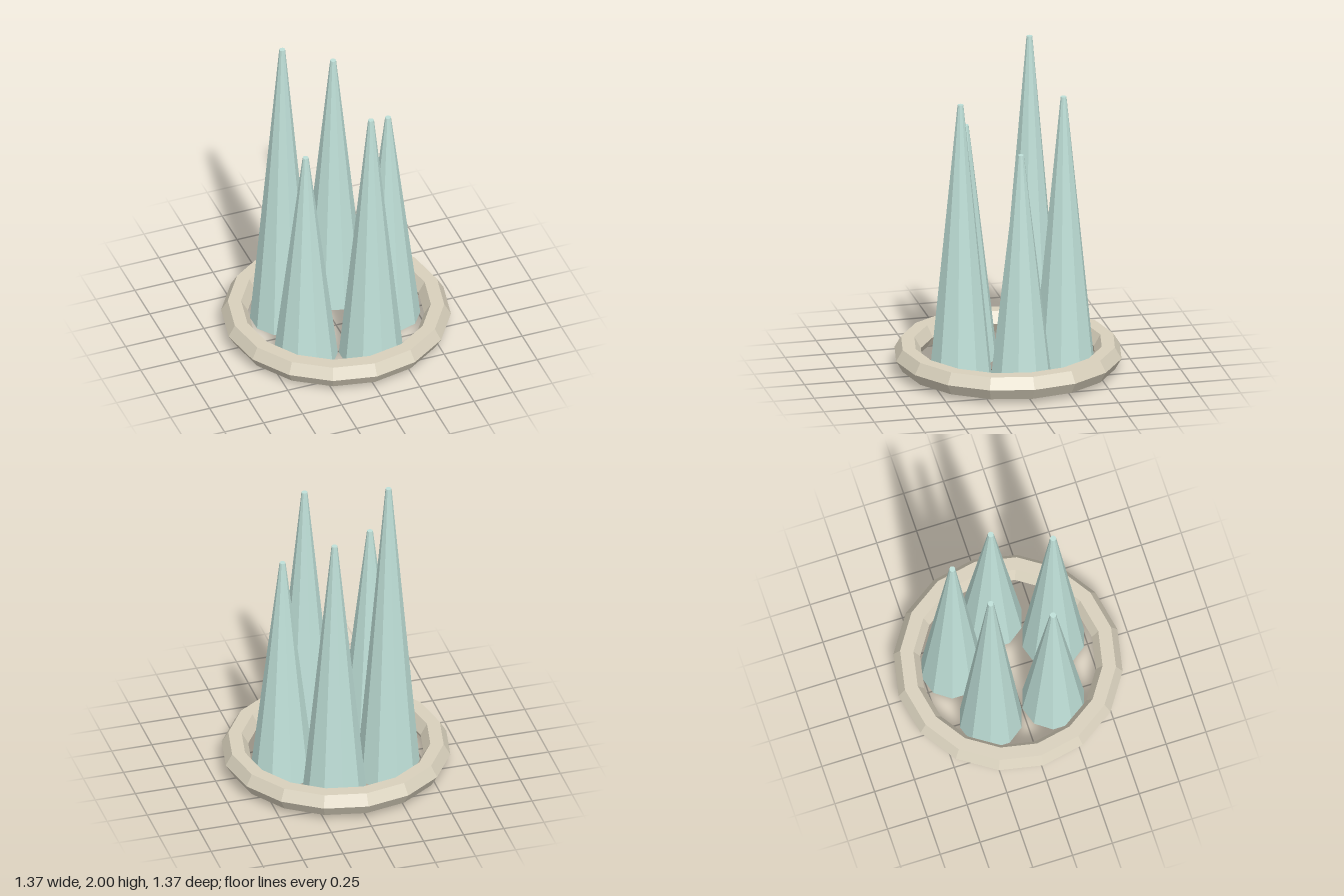
import * as THREE from 'three';

export function createModel() {
  const model = new THREE.Group();
  const spireMat = new THREE.MeshStandardMaterial({ color: 0xbfe0d8, flatShading: true });
  const ringMat = new THREE.MeshStandardMaterial({ color: 0xd8d0bc, flatShading: true });

  // five tapered ten-sided spires, evenly spaced on a circle
  const heights = [1.467, 1.733, 1.467, 2, 1.733];
  heights.forEach((h, i) => {
    const a = (i / heights.length) * Math.PI * 2;
    const spire = new THREE.Mesh(new THREE.CylinderGeometry(0.018, 0.193, h, 10), spireMat);
    spire.name = `spire${i + 1}`;
    spire.position.set(Math.cos(a) * 0.333, h / 2, Math.sin(a) * 0.333);
    model.add(spire);
  });

  // faceted ring around the base, hexagonal in section
  const ring = new THREE.Mesh(new THREE.TorusGeometry(0.607, 0.08, 6, 16), ringMat);
  ring.name = 'baseRing';
  ring.rotation.x = -Math.PI / 2;
  ring.position.y = 0.1;
  model.add(ring);

  return model;
}
